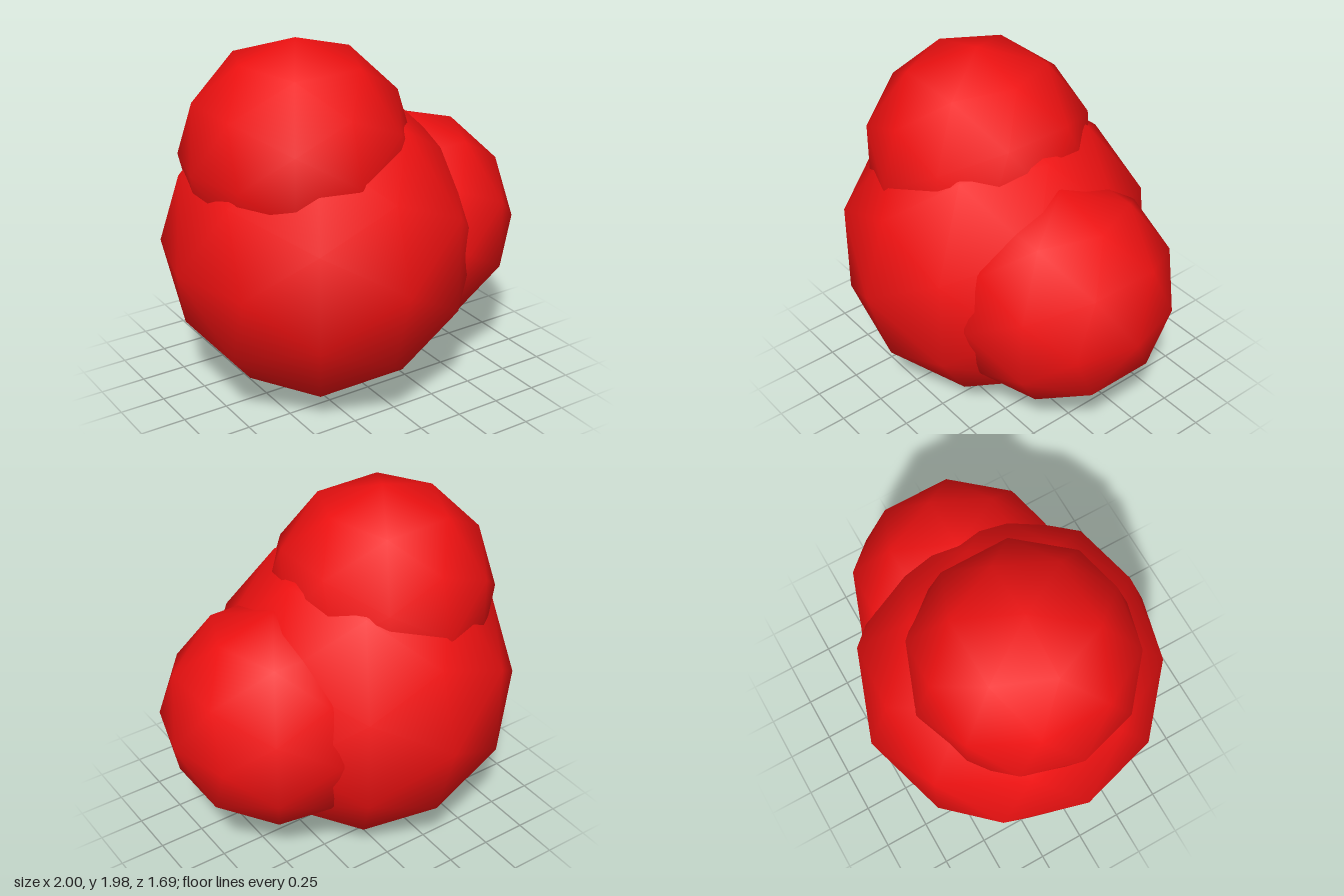
import * as THREE from 'three';

// Three overlapping, smooth-shaded low-poly balls forming a berry-like cluster
export function createModel() {
  const group = new THREE.Group();
  group.name = 'ballCluster';
  const red = new THREE.MeshStandardMaterial({ color: 0xee1111 });

  function addBall(name, radius, x, y) {
    const ball = new THREE.Mesh(new THREE.IcosahedronGeometry(radius, 1), red);
    ball.name = name;
    ball.position.set(x, y, 0);
    group.add(ball);
  }

  addBall('mainBall', 0.846, -0.154, 0.846);
  addBall('sideBall', 0.614, 0.386, 0.846);
  addBall('topBall', 0.614, -0.285, 1.364);

  return group;
}
